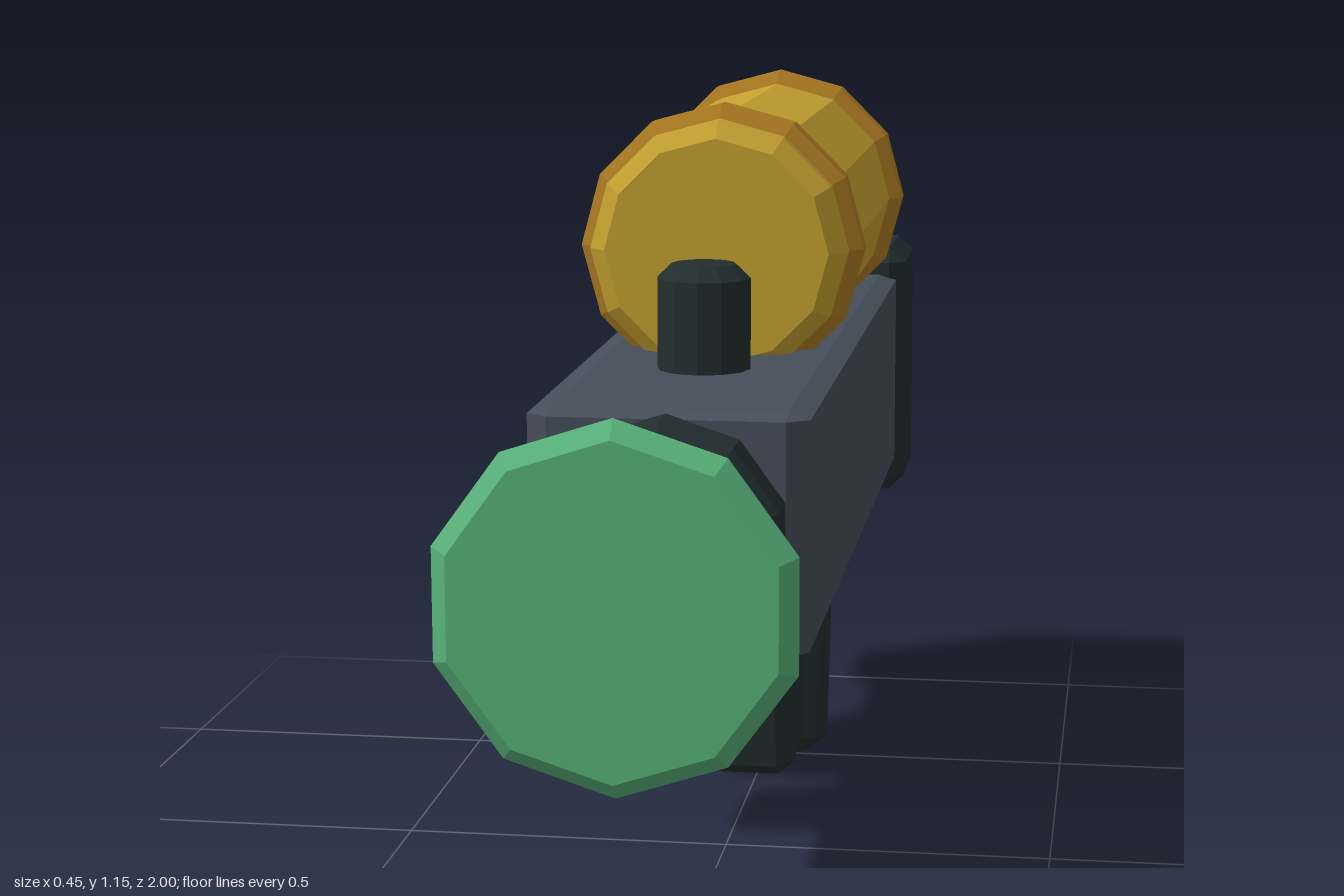
import * as THREE from 'three';
import { ConvexGeometry } from 'three/addons/geometries/ConvexGeometry.js';

const material = (name, color) => {
  const m = new THREE.MeshStandardMaterial({ color });
  m.name = name;
  return m;
};

// Box with chamfered edges; size and chamfer are given per axis.
function chamferBox([w, h, d], [bx, by, bz]) {
  const x = w / 2, y = h / 2, z = d / 2, points = [];
  for (const sx of [-1, 1]) for (const sy of [-1, 1]) for (const sz of [-1, 1]) {
    points.push(
      new THREE.Vector3(sx * x, sy * (y - by), sz * (z - bz)),
      new THREE.Vector3(sx * (x - bx), sy * y, sz * (z - bz)),
      new THREE.Vector3(sx * (x - bx), sy * (y - by), sz * z));
  }
  return new ConvexGeometry(points);
}

// Faceted solid of revolution from [radius, height] pairs, closed at both ends.
function turned(profile, sides) {
  const closed = [[0, profile[0][1]], ...profile, [0, profile[profile.length - 1][1]]];
  const lathe = new THREE.LatheGeometry(closed.map(([r, h]) => new THREE.Vector2(r, h)), sides);
  const flat = lathe.toNonIndexed();
  flat.computeVertexNormals();
  return flat;
}

export function createModel() {
  const group = new THREE.Group();
  group.name = 'launcher';

  const steel = material('slate body', 0x454e5a);
  const dark = material('dark rubber', 0x222e2e);
  const gold = material('gold tank', 0xc4a02f);
  const bronze = material('bronze bands', 0xab7a22);
  const green = material('green nozzle', 0x58b27a);

  const add = (name, geometry, mat, x, y, z) => {
    const mesh = new THREE.Mesh(geometry, mat);
    mesh.name = name;
    mesh.position.set(x, y, z);
    group.add(mesh);
    return mesh;
  };
  // Turned part whose axis runs along z.
  const addAlongZ = (name, profile, sides, mat, y) =>
    add(name, turned(profile, sides).rotateX(Math.PI / 2), mat, 0, y, 0);

  // Main body and rear block
  add('body', chamferBox([0.38, 0.335, 1.4], [0.03, 0.01, 0.022]), steel, 0, 0.6225, -0.118);
  add('rearBlock', chamferBox([0.41, 0.43, 0.22], [0.027, 0.025, 0.022]), dark, 0, 0.62, -0.89);

  // Collar and flared nozzle
  addAlongZ('collar', [[0.15, 0.56], [0.168, 0.58], [0.168, 0.645], [0.155, 0.66]], 10, dark, 0.62);
  addAlongZ('nozzle', [[0.152, 0.65], [0.235, 0.977], [0.212, 1]], 10, green, 0.62);

  // Tank with two raised bands
  addAlongZ('tank', [[0.165, -0.75], [0.19, -0.725], [0.19, 0.085], [0.165, 0.11]], 12, gold, 0.94);
  for (const [name, z] of [['frontBand', 0.025], ['rearBand', -0.66]]) {
    addAlongZ(name, [[0.19, z - 0.034], [0.21, z - 0.02], [0.21, z + 0.02], [0.19, z + 0.034]],
      12, bronze, 0.94);
  }

  // Sight post
  add('sightPost', turned([[0.067, 0.75], [0.067, 0.92], [0.046, 0.94]], 12), dark, 0, 0, 0.228);

  // Grips, leaning towards each other at the bottom; hung from the middle of the lower end
  const addGrip = (name, depth, length, y, z, angle) => {
    const geometry = chamferBox([0.2, length, depth], [0.026, 0.024, 0.024]);
    geometry.translate(0, length / 2, 0);
    add(name, geometry, dark, 0, y, z).rotation.x = angle;
  };
  addGrip('rearGrip', 0.235, 0.5, 0.025, -0.447, -0.245);
  addGrip('frontGrip', 0.197, 0.365, 0.115, -0.132, 0.175);

  return group;
}
